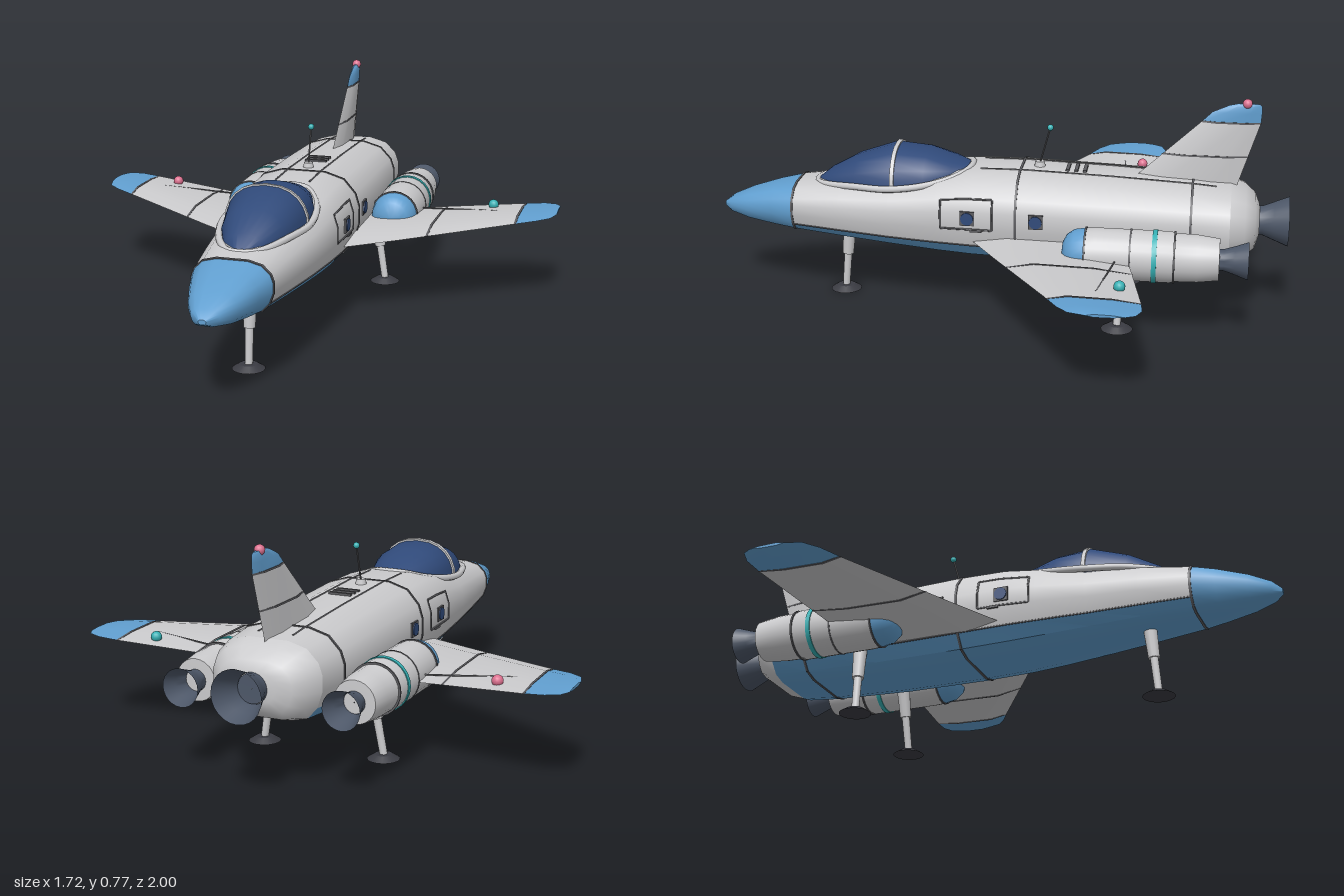
import * as THREE from 'three';
import { toCreasedNormals } from 'three/addons/utils/BufferGeometryUtils.js';

const V = (x, y, z) => new THREE.Vector3(x, y, z);
const mat = (name, color, side = THREE.FrontSide) => {
  const m = new THREE.MeshStandardMaterial({ color, side });
  m.name = name;
  return m;
};

// Skin between rows of points; each row runs anticlockwise seen along the direction of travel.
function loft(rows, { closed = true, caps = closed, crease = 0.6 } = {}) {
  rows = rows.map(r => (closed ? [...r, r[0]] : r));
  const n = rows[0].length;
  const collapse = r => {
    const c = r.slice(0, closed ? n - 1 : n).reduce((a, p) => a.add(p), V(0, 0, 0)).divideScalar(closed ? n - 1 : n);
    return r.map(() => c);
  };
  if (caps) rows = [collapse(rows[0]), ...rows, collapse(rows[rows.length - 1])];
  const pos = rows.flat().flatMap(p => [p.x, p.y, p.z]);
  const index = [];
  for (let i = 0; i < rows.length - 1; i++) for (let j = 0; j < n - 1; j++) {
    const a = i * n + j, c = a + n;
    index.push(a, c, a + 1, a + 1, c, c + 1);
  }
  const g = new THREE.BufferGeometry();
  g.setAttribute('position', new THREE.Float32BufferAttribute(pos, 3));
  g.setIndex(index);
  return toCreasedNormals(g, crease);
}

// Linear lookup in a table of stations sorted by its first column
function sample(table, t) {
  const dir = Math.sign(table[1][0] - table[0][0]);
  let i = 0;
  while (i < table.length - 2 && (t - table[i + 1][0]) * dir > 0) i++;
  const [a, b] = [table[i], table[i + 1]];
  const f = (t - a[0]) / (b[0] - a[0]);
  return a.map((v, k) => v + (b[k] - v) * f);
}

// Hull stations: z, half width, bottom, top
const HULL = [
  [1, 0.012, 0.3, 0.315], [0.97, 0.045, 0.285, 0.338], [0.9, 0.08, 0.27, 0.367], [0.8, 0.112, 0.258, 0.397],
  [0.72, 0.133, 0.25, 0.415], [0.55, 0.155, 0.235, 0.437], [0.37, 0.175, 0.22, 0.455], [0.2, 0.192, 0.207, 0.485],
  [0.08, 0.2, 0.2, 0.5], [-0.1, 0.203, 0.196, 0.502], [-0.4, 0.2, 0.198, 0.493], [-0.68, 0.195, 0.21, 0.48],
  [-0.8, 0.185, 0.22, 0.47], [-0.85, 0.165, 0.235, 0.452], [-0.885, 0.125, 0.262, 0.422], [-0.9, 0.075, 0.298, 0.39],
];
const SECTION = [[0, 0], [0.45, 0], [0.72, 0.05], [0.9, 0.2], [1, 0.42], [1, 0.62], [0.93, 0.77], [0.72, 0.93], [0.38, 1], [0, 1]];
const EDGE = 3, TOP = 9;
function hullPoint(z, k, s = 1, grow = 0) {
  const [, w, y0, y1] = sample(HULL, z);
  const [fx, fy] = SECTION[k];
  return V(s * fx * (w + grow), y0 - grow + fy * (y1 - y0 + 2 * grow), z);
}
const range = (a, b) => Array.from({ length: Math.abs(b - a) + 1 }, (_, i) => a + i * Math.sign(b - a));
const bellyRow = z => [...range(EDGE, 1).map(k => hullPoint(z, k, -1)), ...range(0, EDGE).map(k => hullPoint(z, k))];
const upperRow = z => [...range(EDGE, TOP).map(k => hullPoint(z, k)), ...range(TOP - 1, EDGE).map(k => hullPoint(z, k, -1))];
const fullRow = (z, grow = 0) => [...range(0, TOP).map(k => hullPoint(z, k, 1, grow)), ...range(TOP - 1, 1).map(k => hullPoint(z, k, -1, grow))];
const stationsBetween = (a, b) => HULL.map(h => h[0]).filter(z => z <= a && z >= b);

// Wing stations: x, leading z, trailing z, height, thickness
const WING = [[0.15, 0.088, -0.45, 0.275, 0.042], [0.36, -0.034, -0.48, 0.288, 0.036], [0.73, -0.25, -0.54, 0.316, 0.022],
  [0.8, -0.287, -0.546, 0.322, 0.018], [0.845, -0.325, -0.53, 0.325, 0.014], [0.862, -0.38, -0.5, 0.326, 0.01]];
function wingRow(x, s, grow = 0) {
  const [, le, te, y, t] = sample(WING, x);
  const h = t / 2 + grow, at = f => le + (te - le) * f;
  const row = [V(s * x, y, le + grow), V(s * x, y + h, at(0.22)), V(s * x, y + h * 0.8, at(0.7)), V(s * x, y, te - grow),
    V(s * x, y - h * 0.8, at(0.7)), V(s * x, y - h, at(0.22))];
  return s < 0 ? row.reverse() : row;
}

// Fin stations: y, leading z, trailing z, half thickness
const FIN = [[0.45, -0.44, -0.815, 0.017], [0.685, -0.69, -0.888, 0.011], [0.72, -0.725, -0.89, 0.01], [0.745, -0.78, -0.89, 0.009], [0.752, -0.81, -0.88, 0.006]];
function finRow(y, grow = 0) {
  const [, le, te, h] = sample(FIN, y);
  const a = le + (te - le) * 0.25, b = le + (te - le) * 0.75, t = h + grow;
  return [V(t, y, b), V(t, y, a), V(0, y, le + grow), V(-t, y, a), V(-t, y, b), V(0, y, te - grow)];
}

export function createModel() {
  const model = new THREE.Group();
  model.name = 'spaceplane';
  const white = mat('hullGrey', 0xcbcbcd), blue = mat('trimBlue', 0x619fd0), glass = mat('canopyBlue', 0x304a7a);
  const slate = mat('nozzleSlate', 0x4d5768, THREE.DoubleSide), line = mat('panelLine', 0x5c5c60), foot = mat('footDark', 0x3a3b42);
  const teal = mat('teal', 0x35b0b4), pink = mat('pink', 0xdb6f8e);

  const add = (name, geo, m, p = V(0, 0, 0)) => {
    const mesh = new THREE.Mesh(geo, m);
    mesh.name = name;
    mesh.position.copy(p);
    model.add(mesh);
    return mesh;
  };
  const bar = (name, a, b, r0, r1, m, sides = 6) => {
    const d = b.clone().sub(a);
    const mesh = add(name, new THREE.CylinderGeometry(r1, r0, d.length(), sides), m, a.clone().add(b).multiplyScalar(0.5));
    mesh.quaternion.setFromUnitVectors(V(0, 1, 0), d.normalize());
  };
  const seam = (name, pts, r = 0.0035) => pts.slice(1).forEach((p, i) => bar(name, pts[i], p, r, r, line, 5));
  const ball = (name, p, r, m) => add(name, new THREE.SphereGeometry(r, 14, 10), m, p);
  // Turned part along -z; profile points are [radius, -z]
  const turned = (name, pts, m, x, y) => add(name, toCreasedNormals(
    new THREE.LatheGeometry(pts.map(p => new THREE.Vector2(...p)), 24).rotateX(-Math.PI / 2), 0.6), m, V(x, y, 0));

  // Fuselage
  const open = { closed: false, caps: false };
  add('noseCone', loft(stationsBetween(1, 0.72).map(z => fullRow(z))), blue);
  add('upperHull', loft(stationsBetween(0.72, -0.8).map(upperRow), open), white);
  add('belly', loft(stationsBetween(0.72, -0.8).map(bellyRow), open), blue);
  add('tailCap', loft(stationsBetween(-0.8, -0.9).map(z => fullRow(z)), { crease: 0.9 }), white);
  for (const z of [0.72, -0.08, -0.67]) add('hullSeam', loft([fullRow(z + 0.004, 0.003), fullRow(z - 0.004, 0.003)]), line);

  // Canopy stations: z, half width, base, top
  const CANOPY = [[0.645, 0.03, 0.405, 0.425], [0.6, 0.07, 0.41, 0.462], [0.5, 0.112, 0.42, 0.516], [0.37, 0.14, 0.425, 0.56],
    [0.25, 0.132, 0.44, 0.549], [0.16, 0.1, 0.46, 0.522], [0.105, 0.05, 0.48, 0.503]];
  const arch = (z, grow = 0) => {
    const [, w, y0, y1] = sample(CANOPY, z);
    return range(0, 12).map(i => {
      const c = Math.cos(i * Math.PI / 12), s = Math.sin(i * Math.PI / 12);
      return V(Math.sign(c) * Math.abs(c) ** 0.85 * (w + grow), y0 + s ** 0.9 * (y1 - y0 + grow), z);
    });
  };
  add('canopy', loft(CANOPY.map(c => arch(c[0])), { closed: false, caps: true }), glass);
  add('canopyFrame', loft([arch(0.366, 0.006), arch(0.352, 0.006)], { closed: false, caps: true }), white);
  const rim = s => CANOPY.map(([z, w, y0]) => V(s * (w + 0.006), y0 + 0.012, z));
  add('canopyRim', new THREE.TubeGeometry(new THREE.CatmullRomCurve3([...rim(1), ...rim(-1).reverse()], true), 64, 0.012, 8, true), white);

  // Tail fin
  add('fin', loft([finRow(0.45), finRow(0.685)]), white);
  add('finTip', loft(FIN.slice(1).map(f => finRow(f[0]))), blue);
  for (const y of [0.565, 0.685]) add('finSeam', loft([finRow(y - 0.003, 0.002), finRow(y + 0.003, 0.002)]), line);
  ball('finLight', V(0, 0.752, -0.84), 0.017, pink);

  // Roof details: vents, aerial
  for (const z of [-0.3, -0.27, -0.24]) add('roofVent', new THREE.BoxGeometry(0.08, 0.008, 0.012), line, V(0, 0.5, z));
  add('aerialBase', new THREE.CylinderGeometry(0.016, 0.02, 0.02, 12), white, V(0, 0.508, -0.14));
  bar('aerial', V(0, 0.51, -0.14), V(0, 0.64, -0.175), 0.003, 0.003, line);
  ball('aerialTip', V(0, 0.64, -0.175), 0.011, teal);

  // Main nozzle
  turned('mainNozzle', [[0.05, 0.89], [0.05, 0.91], [0.066, 0.95], [0.086, 1]], slate, 0, 0.34);
  turned('mainNozzleCore', [[0.001, 0.905], [0.048, 0.906]], slate, 0, 0.34);

  for (const s of [1, -1]) {
    // Wing
    add('wing', loft(WING.slice(0, 3).map(w => wingRow(w[0], s))), white);
    add('wingTip', loft(WING.slice(2).map(w => wingRow(w[0], s))), blue);
    for (const x of [0.445, 0.73]) add('wingSeam', loft([wingRow(x - 0.004, s, 0.002), wingRow(x + 0.004, s, 0.002)]), line);
    seam('flapSeam', [V(s * 0.36, 0.3, -0.43), V(s * 0.66, 0.319, -0.395)], 0.003);
    ball('wingLight', V(s * 0.62, 0.323, -0.465), 0.019, s > 0 ? teal : pink);

    // Engine pod
    const px = s * 0.277, py = 0.295;
    turned('podIntake', [[0.001, 0.248], [0.035, 0.252], [0.06, 0.265], [0.077, 0.29], [0.083, 0.325]], blue, px, py);
    turned('podBody', [[0.083, 0.325], [0.086, 0.36], [0.086, 0.61], [0.081, 0.625], [0.079, 0.7], [0.07, 0.77], [0.001, 0.772]], white, px, py);
    turned('podStripe', [[0.08, 0.55], [0.089, 0.55], [0.089, 0.566], [0.08, 0.566]], teal, px, py);
    for (const d of [0.325, 0.475, 0.62]) turned('podSeam', [[0.075, d], [0.0875, d], [0.0875, d + 0.006], [0.075, d + 0.006]], line, px, py);
    turned('podNozzle', [[0.036, 0.765], [0.036, 0.785], [0.047, 0.82], [0.063, 0.865]], slate, px, py);

    // Roof seam, door outline, handle and portholes
    seam('roofSeam', [0.06, -0.1, -0.4, -0.68, -0.75].map(z => V(s * 0.06, sample(HULL, z)[3], z)));
    for (const z of [0.18, 0]) seam('doorSeam', [4, 5, 6].map(k => hullPoint(z, k, s)));
    for (const k of [4, 6]) seam('doorSeam', [0.18, 0.08, 0].map(z => hullPoint(z, k, s)));
    seam('sideSeam', [0.72, 0.55, 0.37, 0.2, 0.08, -0.1, -0.4, -0.67].map(z => hullPoint(z, EDGE, s)), 0.003);
    add('doorHandle', new THREE.BoxGeometry(0.01, 0.008, 0.04), line, V(s * 0.201, 0.322, 0.055));
    for (const z of [0.085, -0.15]) {
      const x = s * sample(HULL, z)[1];
      add('portholeFrame', new THREE.BoxGeometry(0.01, 0.05, 0.05), line, V(x, 0.365, z));
      add('porthole', new THREE.CylinderGeometry(0.022, 0.022, 0.018, 16).rotateZ(Math.PI / 2), glass, V(x, 0.365, z));
    }
  }

  // Landing legs
  for (const [top, base] of [[V(0, 0.25, 0.545), V(0, 0.015, 0.565)], [V(0.18, 0.25, -0.445), V(0.22, 0.015, -0.435)], [V(-0.18, 0.25, -0.445), V(-0.22, 0.015, -0.435)]]) {
    const knee = top.clone().lerp(base, 0.48);
    bar('legStrut', top, knee, 0.024, 0.02, white, 12);
    bar('legPiston', knee, base, 0.014, 0.013, white, 12);
    add('footPad', new THREE.CylinderGeometry(0.03, 0.055, 0.016, 18), foot, V(base.x, 0.008, base.z));
  }
  return model;
}
